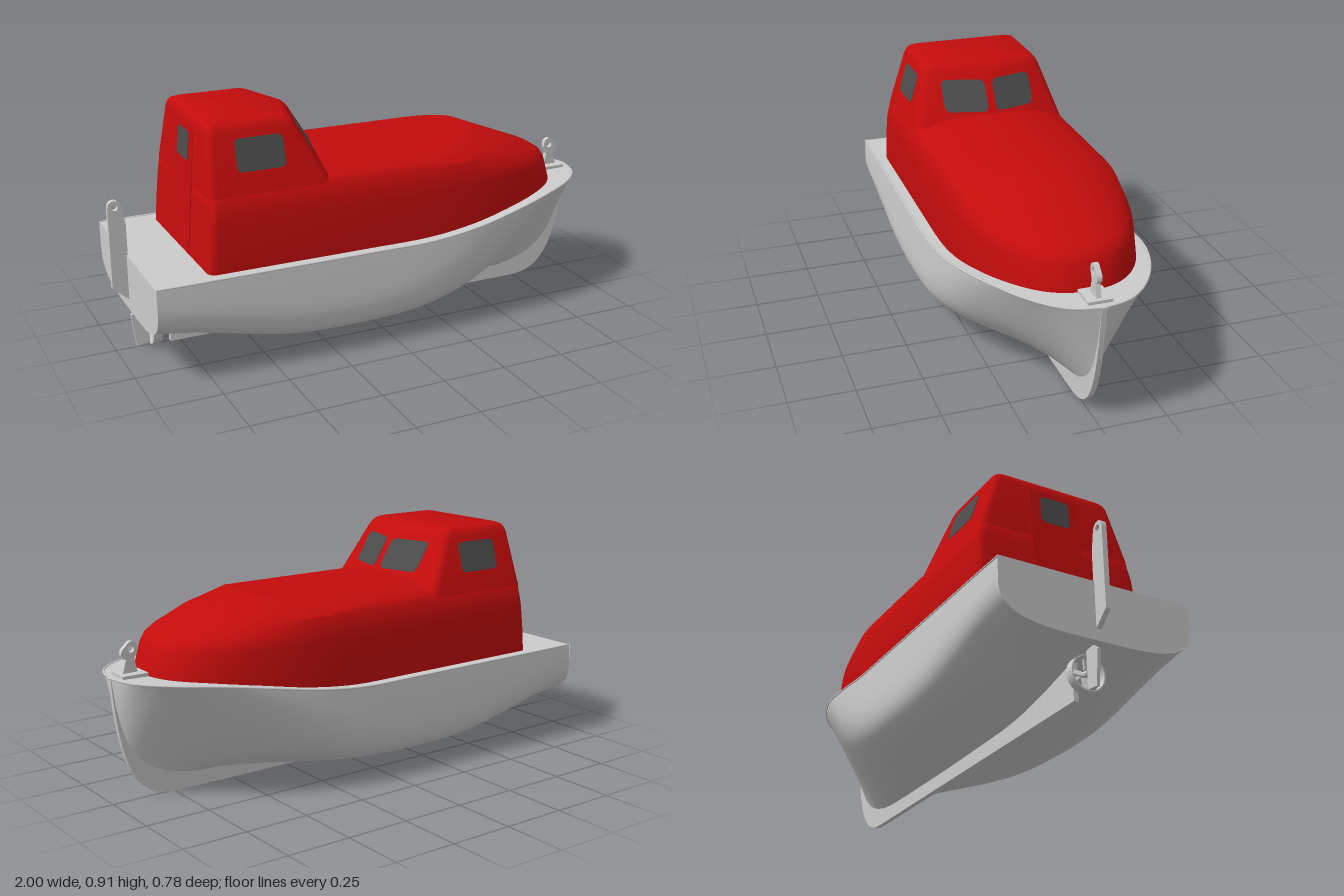
import * as THREE from 'three';
import { toCreasedNormals, mergeVertices } from 'three/addons/utils/BufferGeometryUtils.js';

const V = (x, y, z) => new THREE.Vector3(x, y, z);
const mat = (color) => new THREE.MeshStandardMaterial({ color });
const grey = mat(0xcccccc), red = mat(0xc40c0c), glass = mat(0x4c4c4c);
const greyDouble = new THREE.MeshStandardMaterial({ color: 0xcccccc, side: THREE.DoubleSide });

function add(parent, name, geometry, material) {
  const mesh = new THREE.Mesh(geometry, material);
  mesh.name = name;
  parent.add(mesh);
  return mesh;
}

// Skin a list of equally long rings of points
function loft(rings, crease = 0.7) {
  const n = rings[0].length, pos = [], index = [];
  rings.forEach((r) => r.forEach((p) => pos.push(p.x, p.y, p.z)));
  for (let i = 0; i < rings.length - 1; i++) {
    for (let j = 0; j < n - 1; j++) {
      const a = i * n + j, d = a + n;
      index.push(a, a + 1, d + 1, a, d + 1, d);
    }
  }
  const g = new THREE.BufferGeometry();
  g.setAttribute('position', new THREE.Float32BufferAttribute(pos, 3));
  g.setIndex(index);
  return toCreasedNormals(mergeVertices(g), crease);
}

// Flat profile in x/y, extruded evenly about z = 0
function plate(shape, thickness) {
  return new THREE.ExtrudeGeometry(shape, { depth: thickness, bevelEnabled: false, curveSegments: 16 })
    .translate(0, 0, -thickness / 2);
}

// Hull stations: x, deck half width, deck height, bottom height, fullness
const STATIONS = [
  [-0.94, 0.378, 0.382, 0.16, 4], [-0.8, 0.379, 0.382, 0.145, 4.5], [-0.6, 0.379, 0.382, 0.1, 5],
  [-0.4, 0.379, 0.382, 0.068, 6], [-0.1, 0.379, 0.382, 0.058, 6], [0.15, 0.379, 0.384, 0.055, 4.2],
  [0.35, 0.372, 0.405, 0.055, 2.5], [0.55, 0.342, 0.438, 0.055, 1.5], [0.72, 0.288, 0.46, 0.06, 1.1],
  [0.84, 0.226, 0.467, 0.095, 0.95], [0.92, 0.162, 0.47, 0.17, 0.92], [0.967, 0.1, 0.471, 0.3, 0.95],
  [0.994, 0, 0.472, 0.467, 1],
];

function buildHull(boat) {
  const M = 16, ROWS = 60, lines = [];
  for (let j = -M; j <= M; j++) {
    const a = (Math.abs(j) / M) * Math.PI / 2;
    lines.push(new THREE.CatmullRomCurve3(STATIONS.map(([x, w, yd, yb, n]) => {
      const up = 1 - Math.max(Math.cos(a), 0) ** (2 / n);
      const bulge = 1 + 0.035 * Math.sin(Math.PI * Math.sqrt(up));
      return V(x, yb + (yd - yb) * up, Math.sign(j) * w * bulge * Math.sin(a) ** (2 / n));
    })));
  }
  const rings = [];
  for (let i = ROWS; i >= 0; i--) rings.push(lines.map((c) => c.getPoint(i / ROWS)));
  const deck = rings.map((r) => [r[2 * M], r[0]]);
  // transom closes the stern
  const stern = rings[ROWS];
  add(boat, 'hull', loft([...rings, stern.map((p) => V(p.x, stern[0].y, p.z))]), grey);
  add(boat, 'deck', loft(deck), grey);
  // rubbing rail along the deck edge
  const edge = [...deck.map((d) => d[0]).reverse(), ...deck.slice(1).map((d) => d[1])];
  add(boat, 'rail', new THREE.TubeGeometry(new THREE.CatmullRomCurve3(edge), 160, 0.004, 8), grey);

  // keel and stem
  const k = new THREE.Shape().moveTo(-0.79, 0).lineTo(0.74, 0).bezierCurveTo(0.92, 0, 0.968, 0.15, 0.994, 0.467);
  [[0.95, 0.46], [0.93, 0.25], [0.83, 0.12], [0.7, 0.1], [-0.5, 0.1], [-0.79, 0.16]].forEach((p) => k.lineTo(...p));
  add(boat, 'keel', plate(k, 0.02), grey);
}

const backX = (y) => -0.73 + (y - 0.385) * 0.0825;

// Closed plan outline: rounded back corners, straight sides from back to x0, blunt oval front
function houseRing(w, xf, xb, x0, yOf, squash = 1) {
  const half = [], r = 0.03;
  for (let i = 0; i <= 5; i++) {
    const a = (i / 5) * Math.PI / 2;
    half.push([xb + r - r * Math.cos(a), w - r + r * Math.sin(a)]);
  }
  for (let i = 0; i <= 24; i++) {
    const a = (i / 24) * Math.PI / 2, e = 0.88;
    half.push([x0 + (xf - x0) * Math.sin(a) ** e, w * Math.max(Math.cos(a), 0) ** e]);
  }
  const pts = [...half, ...half.slice(0, -1).reverse().map(([x, z]) => [x, -z]), half[0]];
  return pts.map(([x, z]) => V(x, yOf(z * squash), z * squash));
}

function buildHouse(boat) {
  const walls = [[0.37, 0.336, 0.88], [0.47, 0.336, 0.863], [0.56, 0.331, 0.835], [0.585, 0.329, 0.818],
    [0.605, 0.325, 0.785], [0.655, 0.314, 0.655]];
  const rings = walls.map(([y, w, xf]) => houseRing(w, xf, backX(y), 0.18, () => y));
  // cambered roof
  const crown = (z) => 0.73 - 0.06 * (z / 0.31) ** 2;
  [1, 0.8, 0.6, 0.4, 0.2, 0].forEach((s) => rings.push(houseRing(0.297, 0.47, -0.69, 0, crown, s)));
  add(boat, 'canopy', loft(rings), red);
}

// Wheelhouse wall positions by height
const sideZ = (y) => 0.309 - (y - 0.67) * 0.3;
const frontX = (y, z) => -0.196 - (y - 0.73) * 0.62 - 0.28 * Math.abs(z);

function towerRing(y, inset, r) {
  const w = sideZ(y) - inset, xb = backX(y) - 0.001 + inset;
  const corners = [[xb, w], [frontX(y, w) - inset, w], [frontX(y, 0) - inset, 0],
    [frontX(y, w) - inset, -w], [xb, -w]].map((c) => new THREE.Vector2(...c));
  const out = [];
  corners.forEach((p, i) => {
    const rr = i === 2 ? 0.006 : r;
    const toward = (q) => q.clone().sub(p).setLength(rr).add(p);
    const a = toward(corners[(i + 4) % 5]), b = toward(corners[(i + 1) % 5]);
    new THREE.QuadraticBezierCurve(a, p, b).getPoints(5).forEach((q) => out.push(V(q.x, y, q.y)));
  });
  out.push(out[0].clone());
  return out;
}

// Rounded panel in u/v, laid onto a surface by a mapping rule
function panel(u0, u1, v0, v1, r, map, flip) {
  const s = new THREE.Shape()
    .moveTo(u0 + r, v0).lineTo(u1 - r, v0).quadraticCurveTo(u1, v0, u1, v0 + r)
    .lineTo(u1, v1 - r).quadraticCurveTo(u1, v1, u1 - r, v1)
    .lineTo(u0 + r, v1).quadraticCurveTo(u0, v1, u0, v1 - r)
    .lineTo(u0, v0 + r).quadraticCurveTo(u0, v0, u0 + r, v0);
  const g = new THREE.ExtrudeGeometry(s, { depth: 0.005, bevelEnabled: false, curveSegments: 6 });
  const p = g.attributes.position;
  for (let i = 0; i < p.count; i++) p.setXYZ(i, ...map(p.getX(i), p.getY(i), p.getZ(i) - 0.003));
  if (flip) {
    for (let i = 0; i < p.count; i += 3) {
      const a = V().fromBufferAttribute(p, i), b = V().fromBufferAttribute(p, i + 1);
      p.setXYZ(i, b.x, b.y, b.z);
      p.setXYZ(i + 1, a.x, a.y, a.z);
    }
  }
  g.computeVertexNormals();
  return g;
}

function buildWheelhouse(boat) {
  const tower = new THREE.Group();
  tower.name = 'wheelhouse';
  boat.add(tower);
  const levels = [[0.652, 0, 0.03], [0.87, 0, 0.03], [0.888, 0.003, 0.03], [0.9, 0.01, 0.03], [0.906, 0.022, 0.03]];
  const rings = levels.map((l) => towerRing(...l));
  rings.push(rings[0].map(() => V(-0.5, 0.907, 0)));
  add(tower, 'wheelhouseShell', loft(rings), red);

  // the boat's bow is +x, but its sides are named from the +z front
  for (const s of [1, -1]) {
    const end = s > 0 ? 'front' : 'back';
    add(tower, end + 'SideWindow',
      panel(-0.595, -0.41, 0.735, 0.85, 0.022, (u, v, d) => [u, v, s * (sideZ(v) + d)], s < 0), glass);
    add(tower, end + 'Windscreen',
      panel(0.016, 0.186, 0.738, 0.852, 0.025, (u, v, d) => [frontX(v, u) + d, v, s * u], s > 0), glass);
  }
  // door in the back wall
  const onBack = (lift) => (u, v, d) => [backX(v) - lift - d, v, u];
  add(tower, 'door', panel(-0.105, 0.105, 0.41, 0.86, 0.015, onBack(0.001), false), red);
  add(tower, 'doorWindow', panel(-0.06, 0.06, 0.73, 0.84, 0.02, onBack(0.003), false), glass);
}

function buildFittings(boat) {
  // lifting bracket on the transom
  const b = new THREE.Shape().moveTo(-0.935, 0.2).lineTo(-0.935, 0.5).lineTo(-0.948, 0.575)
    .quadraticCurveTo(-0.955, 0.598, -0.975, 0.598).quadraticCurveTo(-0.998, 0.598, -1, 0.57)
    .lineTo(-1, 0.255);
  b.holes.push(new THREE.Path().absarc(-0.973, 0.572, 0.012, 0, Math.PI * 2, true));
  add(boat, 'sternBracket', plate(b, 0.02), grey);

  // lifting hook on the foredeck
  add(boat, 'hookBase', new THREE.BoxGeometry(0.1, 0.014, 0.09).translate(0.912, 0.475, 0), grey);
  const h = new THREE.Shape().moveTo(0.885, 0.478).lineTo(0.945, 0.478).lineTo(0.93, 0.53).lineTo(0.947, 0.545)
    .quadraticCurveTo(0.952, 0.565, 0.93, 0.58).quadraticCurveTo(0.915, 0.6, 0.9, 0.595)
    .quadraticCurveTo(0.882, 0.59, 0.884, 0.56).lineTo(0.897, 0.53);
  h.holes.push(new THREE.Path().absarc(0.909, 0.568, 0.013, 0, Math.PI * 2, true));
  add(boat, 'bowHook', plate(h, 0.018), grey);

  // propeller inside a narrow guard ring
  const prop = new THREE.Group();
  prop.name = 'propeller';
  prop.position.set(-0.85, 0.073, 0);
  boat.add(prop);
  const profile = [[0.062, -0.015], [0.067, -0.015], [0.067, 0.02], [0.062, 0.02], [0.062, -0.015]]
    .map((p) => new THREE.Vector2(...p));
  add(prop, 'guardRing', toCreasedNormals(new THREE.LatheGeometry(profile, 32), 0.5).rotateZ(Math.PI / 2), greyDouble);
  add(prop, 'shaft', new THREE.CylinderGeometry(0.01, 0.01, 0.1, 12).rotateZ(Math.PI / 2).translate(0.035, 0, 0), grey);
  add(prop, 'hub', new THREE.CylinderGeometry(0.016, 0.01, 0.04, 16).rotateZ(-Math.PI / 2), grey);
  for (let i = 0; i < 4; i++) {
    const blade = new THREE.BoxGeometry(0.005, 0.04, 0.03).rotateY(0.6).translate(0, 0.032, 0);
    add(prop, 'blade', blade.rotateX(i * Math.PI / 2), grey);
  }

  // rudder behind the propeller
  const r = new THREE.Shape();
  [[-0.92, 0.005], [-0.87, 0.012], [-0.868, 0.15], [-0.9, 0.165], [-0.936, 0.135]]
    .forEach((p, i) => (i ? r.lineTo(...p) : r.moveTo(...p)));
  add(boat, 'rudder', plate(r, 0.012), grey);
}

export function createModel() {
  const boat = new THREE.Group();
  boat.name = 'lifeboat';
  buildHull(boat);
  buildHouse(boat);
  buildWheelhouse(boat);
  buildFittings(boat);
  return boat;
}
